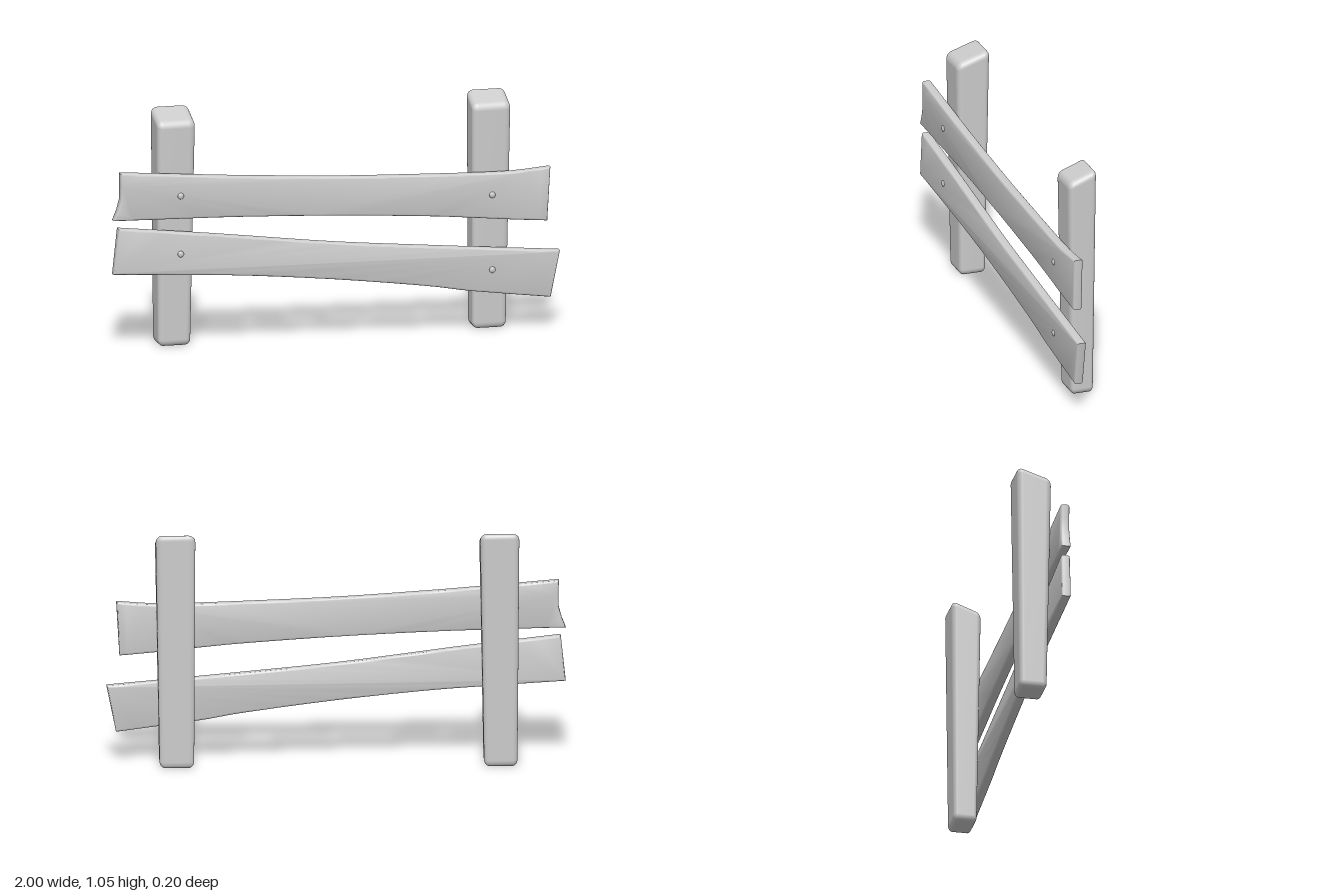
import * as THREE from 'three';
import { RoundedBoxGeometry } from 'three/addons/geometries/RoundedBoxGeometry.js';
import { mergeVertices, toCreasedNormals } from 'three/addons/utils/BufferGeometryUtils.js';

const material = new THREE.MeshStandardMaterial({ color: 0xcccccc });

function addMesh(parent, geometry, name) {
  const mesh = new THREE.Mesh(geometry, material);
  mesh.name = name;
  parent.add(mesh);
  return mesh;
}

// Tapered post with rounded edges and a top sloping down to the front.
// bottom and top are the rectangles [x0, x1, z0, z1] it blends between.
function postGeometry(bottom, top) {
  const box = new RoundedBoxGeometry(1, 6, 1, 4, 0.17);
  box.deleteAttribute('normal');
  box.deleteAttribute('uv');
  box.clearGroups();
  const geometry = mergeVertices(box, 1e-4);
  const p = geometry.attributes.position;
  for (let i = 0; i < p.count; i++) {
    const u = p.getX(i) + 0.5, t = p.getY(i) / 6 + 0.5, v = p.getZ(i) + 0.5;
    const [x0, x1, z0, z1] = bottom.map((b, k) => THREE.MathUtils.lerp(b, top[k], t));
    const height = 1.055 - 0.05 * v;
    p.setXYZ(i, x0 + (x1 - x0) * u, t * height, z0 + (z1 - z0) * v);
  }
  geometry.computeVertexNormals();
  return geometry;
}

// Bent plank: curved top edge (left to right), curved bottom edge (right to left).
function plankGeometry(topEdge, bottomEdge, leftEnd = []) {
  const vectors = (list) => list.map(([x, y]) => new THREE.Vector2(x, y));
  const curve = (list) => new THREE.SplineCurve(vectors(list)).getPoints(20);
  const shape = new THREE.Shape([...curve(topEdge), ...curve(bottomEdge), ...vectors(leftEnd)]);
  const bevel = 0.009;
  const geometry = new THREE.ExtrudeGeometry(shape, {
    depth: 0.041 - 2 * bevel, bevelEnabled: true, bevelSize: bevel,
    bevelThickness: bevel, bevelOffset: -bevel, bevelSegments: 3,
  });
  geometry.translate(0, 0, 0.052 + bevel);
  return toCreasedNormals(geometry, 0.7);
}

export function createModel() {
  const fence = new THREE.Group();
  fence.name = 'fence';

  // Posts
  addMesh(fence, postGeometry([-0.785, -0.64, -0.085, 0.035], [-0.793, -0.622, -0.099, 0.054]), 'rightPost');
  addMesh(fence, postGeometry([0.622, 0.772, -0.067, 0.036], [0.617, 0.79, -0.077, 0.054]), 'leftPost');

  // Planks
  addMesh(fence, plankGeometry(
    [[-0.97, 0.8], [-0.6, 0.77], [-0.4, 0.755], [0, 0.73], [0.4, 0.715], [0.65, 0.708], [0.8, 0.708], [0.957, 0.72]],
    [[0.943, 0.48], [0.8, 0.492], [0.6, 0.512], [0.4, 0.53], [0, 0.556], [-0.4, 0.574], [-0.7, 0.582], [-1, 0.588]],
    [[-0.983, 0.63], [-0.968, 0.685], [-0.968, 0.74]],
  ), 'upperPlank');
  addMesh(fence, plankGeometry(
    [[-0.978, 0.553], [-0.6, 0.51], [-0.4, 0.485], [0, 0.435], [0.4, 0.397], [0.7, 0.37], [1, 0.344]],
    [[0.958, 0.137], [0.6, 0.184], [0.4, 0.218], [0, 0.27], [-0.4, 0.31], [-0.7, 0.33], [-1, 0.348]],
  ), 'lowerPlank');

  // Nail heads
  const nailGeometry = new THREE.SphereGeometry(0.014, 16, 10);
  nailGeometry.scale(1, 1, 0.5);
  for (const [x, y] of [[-0.7, 0.685], [0.695, 0.61], [-0.7, 0.425], [0.695, 0.275]]) {
    addMesh(fence, nailGeometry, 'nail').position.set(x, y, 0.093);
  }
  return fence;
}
